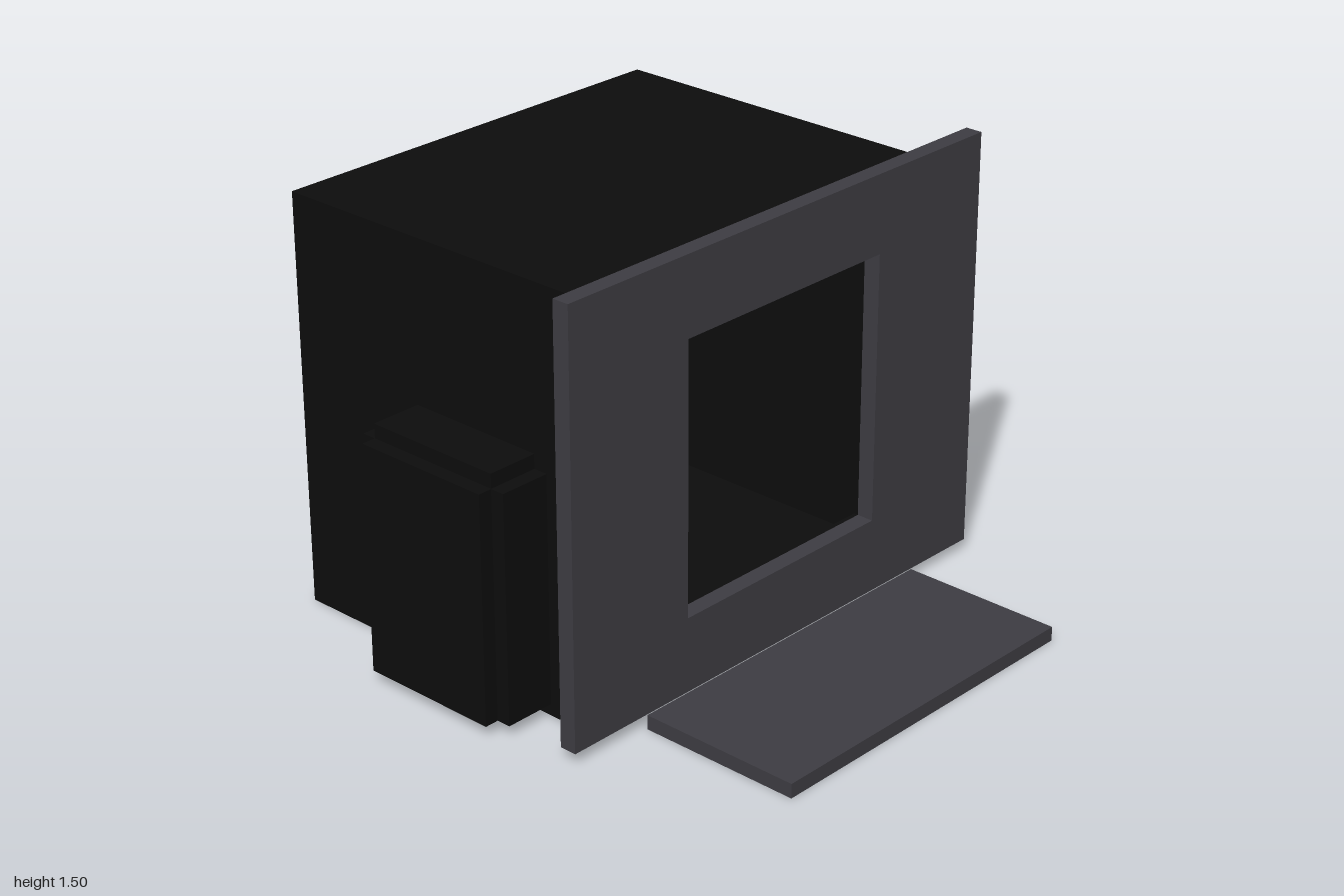
import * as THREE from 'three';

export function createModel() {
  const model = new THREE.Group();
  model.name = 'roomDiorama';
  const mat = (name, color) => {
    const m = new THREE.MeshStandardMaterial({ color });
    m.name = name;
    return m;
  };
  const black = mat('black', 0x0d0d0d);
  const grey = mat('slateGrey', 0x3d3c42);
  const charcoal = mat('charcoal', 0x303034);
  const tan = mat('tan', 0xcda56c);
  const brass = mat('brass', 0xb8935a);

  // Box given by its minimum and maximum corners
  const box = (name, m, x0, x1, y0, y1, z0, z1, parent = model) => {
    const mesh = new THREE.Mesh(new THREE.BoxGeometry(x1 - x0, y1 - y0, z1 - z0), m);
    mesh.position.set((x0 + x1) / 2, (y0 + y1) / 2, (z0 + z1) / 2);
    mesh.name = name;
    parent.add(mesh);
    return mesh;
  };
  // Rectangular slab with a rectangular hole
  const frame = (name, m, o, h, z0, z1) => {
    const rect = (C, [x0, x1, y0, y1]) => {
      const p = new C();
      p.moveTo(x0, y0).lineTo(x1, y0).lineTo(x1, y1).lineTo(x0, y1).closePath();
      return p;
    };
    const s = rect(THREE.Shape, o);
    s.holes.push(rect(THREE.Path, h));
    const mesh = new THREE.Mesh(
      new THREE.ExtrudeGeometry(s, { depth: z1 - z0, bevelEnabled: false }), m);
    mesh.position.z = z0;
    mesh.name = name;
    model.add(mesh);
  };
  const group = (name) => {
    const g = new THREE.Group();
    g.name = name;
    model.add(g);
    return g;
  };

  // Room shell, panels meeting with stepped outer edges
  const room = group('roomShell');
  box('floor', black, -0.70, 0.76, 0, 0.04, -0.95, 0.33, room);
  box('ceiling', black, -0.70, 0.76, 1.40, 1.44, -0.95, 0.33, room);
  box('backWall', black, -0.70, 0.76, 0.04, 1.40, -1.0, -0.95, room);
  box('rightWall', black, 0.76, 0.81, 0, 1.44, -0.95, 0.33, room);
  // Niche-side wall, split around its opening
  box('leftWallRear', black, -0.75, -0.70, 0, 1.44, -0.95, -0.41, room);
  box('leftWallFront', black, -0.75, -0.70, 0, 1.44, 0.095, 0.33, room);
  box('leftWallOver', black, -0.75, -0.70, 0.83, 1.44, -0.41, 0.095, room);
  box('leftWallSill', black, -0.75, -0.70, 0, 0.04, -0.41, 0.095, room);

  // Side niche, open underneath
  const niche = group('sideNiche');
  box('nicheOuterWall', black, -0.98, -0.93, 0.04, 0.83, -0.41, 0.095, niche);
  box('nicheRoof', black, -0.93, -0.75, 0.83, 0.88, -0.41, 0.095, niche);
  box('nicheRearWall', black, -0.93, -0.75, 0.04, 0.83, -0.46, -0.41, niche);
  box('nicheFrontWall', black, -0.93, -0.75, 0.04, 0.83, 0.095, 0.145, niche);

  // Front panel, its rear trim and the step
  const hole = [-0.41, 0.475, 0.30, 1.235];
  frame('frontPanel', grey, [-0.91, 0.975, 0.04, 1.505], hole, 0.345, 0.405);
  frame('windowTrim', black, [-0.43, 0.49, 0.28, 1.25], hole, 0.33, 0.345);
  box('frontStep', grey, -0.61, 0.67, 0, 0.05, 0.42, 1.0);

  // Counter against the back wall
  const counter = group('counter');
  box('counterTop', black, -0.52, 0.22, 0.57, 0.605, -0.95, -0.42, counter);
  for (const x of [-0.50, 0.17])
    for (const z of [-0.92, -0.47])
      box('counterLeg', black, x, x + 0.03, 0.04, 0.57, z, z + 0.03, counter);
  box('counterRail', black, -0.47, 0.17, 0.50, 0.57, -0.92, -0.90, counter);
  box('wallPanel', black, -0.38, -0.13, 0.80, 1.10, -0.95, -0.92);
  box('uprightScreen', black, 0.13, 0.28, 0.605, 0.87, -0.90, -0.87);

  // Chair
  const chair = group('chair');
  box('chairSeat', black, -0.08, 0.15, 0.28, 0.31, -0.36, -0.12, chair);
  box('chairBack', black, -0.08, 0.15, 0.31, 0.52, -0.15, -0.12, chair);
  for (const x of [-0.08, 0.125])
    for (const z of [-0.36, -0.145])
      box('chairLeg', black, x, x + 0.025, 0.04, 0.28, z, z + 0.025, chair);

  // Small dark blocks
  box('counterBlock', charcoal, -0.285, -0.235, 0.605, 0.655, -0.63, -0.58);
  box('chairBlock', charcoal, 0.04, 0.08, 0.525, 0.57, -0.16, -0.12);
  box('smallBlock', charcoal, 0.19, 0.215, 0.605, 0.625, -0.50, -0.475);

  // Brass wall lights, a wide bar over a small fitting
  for (const [x, y, w, drop] of [[-0.212, 1.188, 0.19, 0.062], [0.09, 0.684, 0.084, 0.036]]) {
    const light = group('wallLight');
    box('lightBar', brass, x - w / 2, x + w / 2, y - w * 0.07, y + w * 0.07, -0.95, -0.87, light);
    box('lightStem', black, x - 0.008, x + 0.008, y - drop, y, -0.94, -0.92, light);
    box('lightFitting', brass, x - 0.02, x + 0.02, y - drop - 0.015, y - drop + 0.015, -0.95, -0.89, light);
  }

  // Tan plate with a button on the back wall
  box('wallPlate', tan, 0.36, 0.457, 0.90, 1.035, -0.95, -0.93);
  box('buttonSurround', charcoal, 0.39, 0.43, 0.955, 0.983, -0.93, -0.922);
  box('button', brass, 0.398, 0.422, 0.962, 0.976, -0.922, -0.917);

  return model;
}
